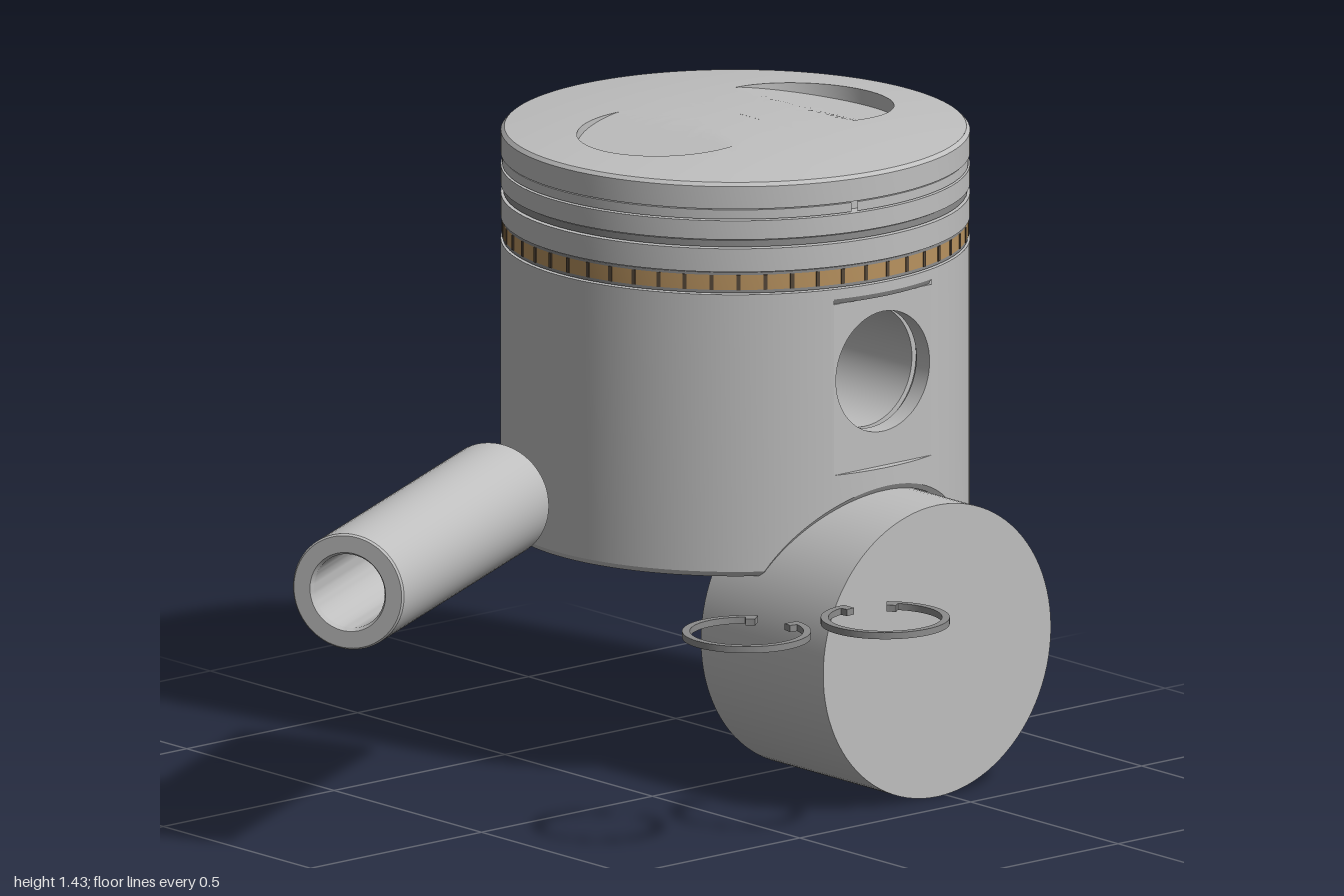
import * as THREE from 'three';
import { mergeGeometries, toCreasedNormals } from 'three/addons/utils/BufferGeometryUtils.js';

const paint = (name, color) => {
  const m = new THREE.MeshStandardMaterial({ color });
  m.name = name;
  return m;
};
const R = 0.52, INNER = 0.46;          // skirt radii
const ARCH = 0.333;                    // radius of the skirt cut-out and of the plug
const HOLE_Y = 0.935, HOLE_R = 0.137;  // wrist pin hole
const SKIRT_TOP = 1.145, FLAT = 0.5, FLAT_HALF = Math.sqrt(R * R - FLAT * FLAT);

const archY = x => Math.max(0.5, ARCH + Math.sqrt(Math.max(0, ARCH * ARCH - x * x)));
const crease = (g, a = 0.5) => toCreasedNormals(g, a);
const lathe = (pts, start = 0, length = Math.PI * 2, seg = 96) =>
  crease(new THREE.LatheGeometry(pts.map(p => new THREE.Vector2(...p)), seg, start, length));
// closed rectangular ring profile
const band = (r0, r1, y0, y1) => [[r0, y0], [r1, y0], [r1, y1], [r0, y1], [r0, y0]];

// surface through columns of [radius, y] points, one column per angle
function sweep(from, to, n, column) {
  const pos = [], index = [];
  let rows = 0;
  for (let i = 0; i <= n; i++) {
    const t = from + (to - from) * i / n, col = column(t);
    rows = col.length;
    col.forEach(([r, y]) => pos.push(r * Math.sin(t), y, r * Math.cos(t)));
  }
  for (let i = 0; i < n; i++) for (let j = 0; j < rows - 1; j++) {
    const a = i * rows + j, b = a + rows;
    index.push(a, b, a + 1, b + 1, a + 1, b);
  }
  const g = new THREE.BufferGeometry();
  g.setAttribute('position', new THREE.Float32BufferAttribute(pos, 3));
  g.setIndex(index);
  return g;
}

// skirt shell: arched at front and back, open where the pin flats sit
function skirtGeometry() {
  const wall = (low, high) => t => {
    const x = Math.sin(t), lo = low ?? archY(R * x), li = low ?? archY(INNER * x);
    return [[INNER, li], [R - 0.008, lo], [R, lo + 0.012], [R, high], [INNER, high], [INNER, li]];
  };
  const a0 = Math.asin(FLAT_HALF / R), a1 = Math.asin(0.288 / R), parts = [];
  for (const h of [0, Math.PI]) {
    parts.push(sweep(h - a0, h + a0, 14, wall(null, 0.72)));
    parts.push(sweep(h - a0, h + a0, 14, wall(1.11, SKIRT_TOP)));
    parts.push(sweep(h + a0, h + a1, 12, wall(null, SKIRT_TOP)));
    parts.push(sweep(h + a1, h + Math.PI - a1, 40, wall(null, SKIRT_TOP)));
    parts.push(sweep(h + Math.PI - a1, h + Math.PI - a0, 12, wall(null, SKIRT_TOP)));
  }
  return crease(mergeGeometries(parts));
}

// domed crown with two tilted valve pockets
function crownGeometry() {
  const rim = 0.512, dome = r => 1.43 - 0.03 * (r / rim) ** 2;
  return crease(sweep(0, Math.PI * 2, 144, t => {
    const s = Math.abs(Math.sin(t)), edge = 0.4 * s, col = [];
    for (let i = 0; i <= 5; i++) {
      const r = rim + (edge - rim) * i / 5;
      col.push([r, dome(r)]);
    }
    for (let i = 0; i <= 10; i++) {
      const r = edge * (1 - i / 10);
      col.push([r, Math.min(dome(r), 1.427 - 0.2 * (r * s - 0.15))]);
    }
    return col;
  }));
}

// plate with the pin hole, extruded along z
function drilled(points, z0, z1) {
  const s = new THREE.Shape(points.map(p => new THREE.Vector2(...p)));
  s.holes.push(new THREE.Path().absarc(0, HOLE_Y, HOLE_R, 0, Math.PI * 2, true));
  const g = new THREE.ExtrudeGeometry(s, { depth: z1 - z0, bevelEnabled: false, curveSegments: 40 });
  g.translate(0, 0, z0);
  return crease(g);
}

// open retaining ring with inward ears
function clipGeometry() {
  const a = 0.035, b = 5.6, ear = 0.2, ro = 0.143, ri = 0.126, re = 0.108;
  const s = new THREE.Shape();
  s.absarc(0, 0, ro, a, b, false);
  s.absarc(0, 0, re, b, b - ear, true);
  s.absarc(0, 0, ri, b - ear, a + ear, true);
  s.absarc(0, 0, re, a + ear, a, true);
  const g = new THREE.ExtrudeGeometry(s, { depth: 0.015, bevelEnabled: false, curveSegments: 48 });
  g.rotateX(Math.PI / 2);
  return crease(g);
}

export function createModel() {
  const metal = paint('aluminium', 0xbfbfbf);
  const steel = paint('ring steel', 0x8c8c8c);
  const tan = paint('oil ring tan', 0xb8925f);
  const dark = paint('slot dark', 0x57493a);
  const bore = paint('groove grey', 0x9a9a9a);
  bore.side = THREE.DoubleSide;

  const model = new THREE.Group();
  model.name = 'pistonSet';
  const add = (parent, name, geo, mat) => {
    const m = new THREE.Mesh(geo, mat);
    m.name = name;
    parent.add(m);
    return m;
  };

  // piston
  const piston = new THREE.Group();
  piston.name = 'piston';
  piston.position.set(0.48, 0, -0.275);
  model.add(piston);
  add(piston, 'skirt', skirtGeometry(), metal);
  add(piston, 'crown', crownGeometry(), metal);
  add(piston, 'ringBelt', lathe([
    [0, SKIRT_TOP], [R - 0.004, SKIRT_TOP], [0.48, 1.147], [0.48, 1.197], [R, 1.197],
    [R, 1.25], [0.485, 1.25], [0.485, 1.271], [R, 1.271],
    [R, 1.314], [0.485, 1.314], [0.485, 1.341], [R, 1.341], [R, 1.392], [0.512, 1.4],
  ]), metal);

  // compression rings with end gaps
  add(piston, 'topRing', lathe(band(0.486, 0.517, 1.317, 1.338), -0.16, Math.PI * 2 - 0.03), metal);
  add(piston, 'secondRing', lathe(band(0.486, 0.514, 1.253, 1.268), Math.PI, Math.PI * 2 - 0.03), steel);

  // oil ring: two rails, expander and its slots
  add(piston, 'lowerRail', lathe(band(0.481, 0.516, 1.148, 1.155)), steel);
  add(piston, 'upperRail', lathe(band(0.481, 0.516, 1.189, 1.195)), steel);
  add(piston, 'oilExpander', lathe(band(0.481, 0.516, 1.155, 1.189)), tan);
  const slots = new THREE.Group();
  slots.name = 'oilSlots';
  piston.add(slots);
  const slotGeo = new THREE.BoxGeometry(0.009, 0.034, 0.006);
  for (let i = 0; i < 54; i++) {
    const t = i / 54 * Math.PI * 2, m = add(slots, 'oilSlot', slotGeo, dark);
    m.position.set(0.515 * Math.sin(t), 1.172, 0.515 * Math.cos(t));
    m.rotation.y = t;
  }

  // pin bosses and outer flats, front and back
  const bossHalf = 0.2, bossPoints = [[bossHalf, SKIRT_TOP], [-bossHalf, SKIRT_TOP]];
  for (let i = 0; i <= 16; i++) {
    const x = bossHalf * (i / 8 - 1);
    bossPoints.push([x, archY(x)]);
  }
  const bossGeo = drilled(bossPoints, 0.2, 0.44);
  const flatGeo = drilled([[-FLAT_HALF, 0.72], [FLAT_HALF, 0.72], [FLAT_HALF, 1.11], [-FLAT_HALF, 1.11]], 0.455, FLAT);
  const grooveGeo = new THREE.CylinderGeometry(0.149, 0.149, 0.025, 48, 1, true);
  grooveGeo.rotateX(Math.PI / 2).translate(0, HOLE_Y, 0.4475);
  for (const side of [0, 1]) {
    const g = new THREE.Group();
    g.name = side ? 'backPinBoss' : 'frontPinBoss';
    g.rotation.y = side * Math.PI;
    add(g, 'boss', bossGeo, metal);
    add(g, 'pinFlat', flatGeo, metal);
    add(g, 'clipGroove', grooveGeo, bore);
    piston.add(g);
  }

  // solid round plug under the front arch
  const plug = add(model, 'plug', new THREE.CylinderGeometry(ARCH, ARCH, 0.415, 96), metal);
  plug.rotation.x = Math.PI / 2;
  plug.position.set(0.475, ARCH, 0.2075);

  // hollow wrist pin lying beside the piston
  const half = 0.447, pinGeo = lathe([
    [0.09, -half], [0.128, -half], [0.132, -half + 0.005], [0.132, half - 0.005], [0.128, half],
    [0.09, half], [0.084, half - 0.01], [0.084, -half + 0.01], [0.09, -half],
  ], 0, Math.PI * 2, 64);
  pinGeo.rotateZ(-Math.PI / 2);
  const pin = add(model, 'wristPin', pinGeo, metal);
  pin.position.set(-0.545, 0.632, -0.153);
  pin.rotation.y = 0.488;

  // retaining clips
  const clipGeo = clipGeometry();
  [[-0.19, 0.54, 0], [0.125, 0.645, 0.87]].forEach(([x, z, turn]) => {
    const c = add(model, 'retainingClip', clipGeo, steel);
    c.position.set(x, 0.512, z);
    c.rotation.y = turn;
  });
  return model;
}
